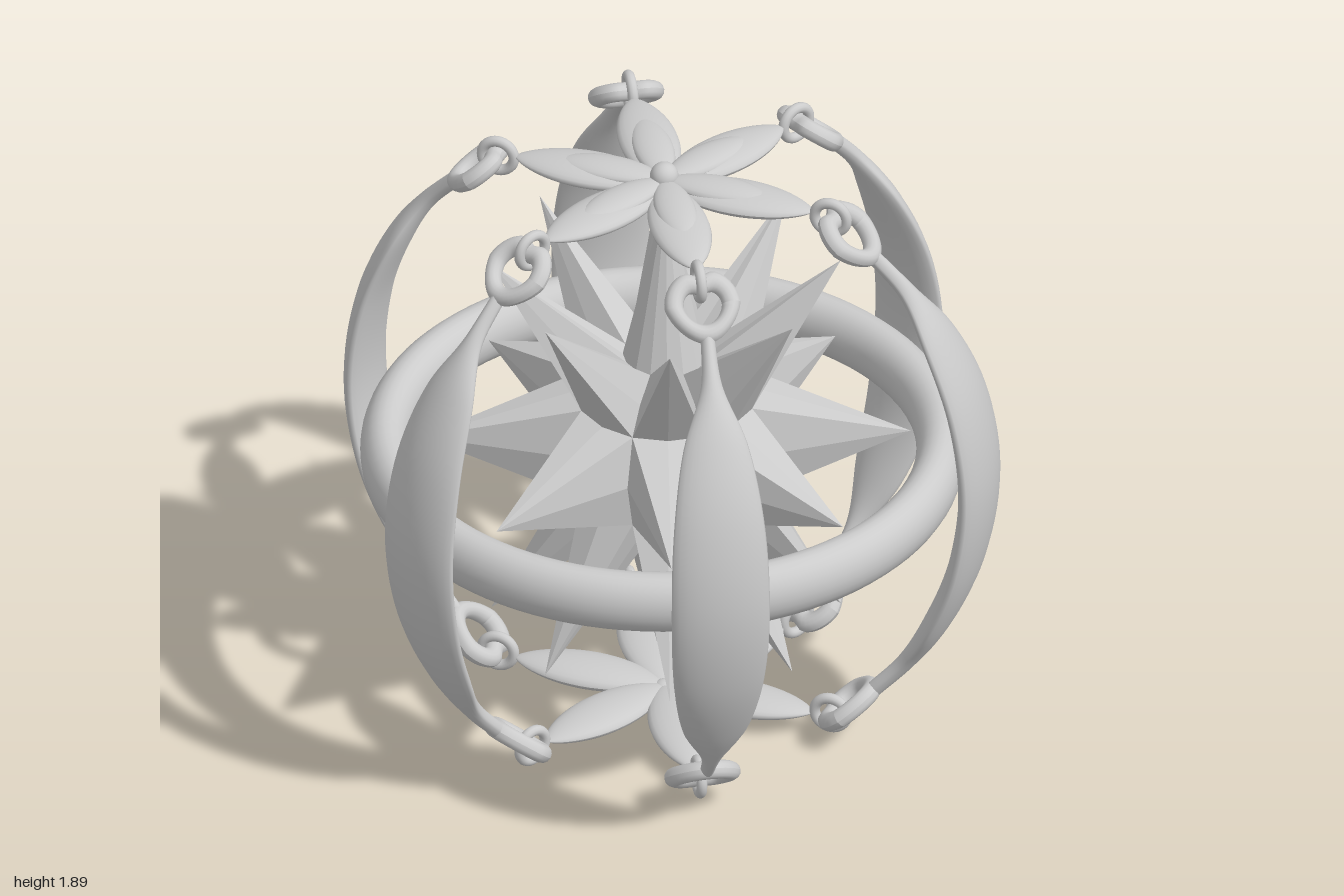
import * as THREE from 'three';

const MID = 0.945; // mid height of the model
const material = new THREE.MeshStandardMaterial({ color: 0xcccccc });
const facetedMaterial = new THREE.MeshStandardMaterial({ color: 0xcccccc, flatShading: true });

function mesh(name, geometry, mat = material) {
  const m = new THREE.Mesh(geometry, mat);
  m.name = name;
  return m;
}

// Move every vertex of a geometry by a rule
function deform(geometry, rule) {
  const p = geometry.attributes.position;
  const v = new THREE.Vector3();
  for (let i = 0; i < p.count; i++) {
    v.fromBufferAttribute(p, i);
    rule(v);
    p.setXYZ(i, v.x, v.y, v.z);
  }
  geometry.computeVertexNormals();
  return geometry;
}

// Pointed petal lying along +z from the flower centre
function petalGeometry(length, halfWidth, halfThick) {
  const g = new THREE.SphereGeometry(1, 24, 24).rotateX(Math.PI / 2);
  return deform(g, (v) => {
    const taper = Math.pow(Math.max(0, 1 - v.z * v.z), 0.22);
    v.x *= halfWidth * taper;
    v.y *= halfThick * taper;
    v.z = (v.z + 1) * length / 2;
  });
}

// Heart-like eyelet: narrow on the strap side, dented on the link side
function eyeletGeometry() {
  const g = new THREE.TorusGeometry(0.085, 0.028, 14, 40);
  deform(g, (v) => {
    if (v.y < 0) v.y += 0.022 * Math.exp(-((v.x / 0.03) ** 2));
    else v.x *= 1 - 2.2 * v.y;
  });
  return g.rotateX(THREE.MathUtils.degToRad(130.5));
}

// Bowed strap with a lens section; lean shifts its belly sideways
function strapGeometry(lean) {
  const half = [[0.02, 1.705, 0.64], [0.032, 1.59, 0.74], [0.095, 1.44, 0.83], [0.134, 1.22, 0.915]];
  // each path point holds (half width, height, distance from the axis)
  const points = half.map((p) => new THREE.Vector3(...p));
  points.push(new THREE.Vector3(0.146, MID, 0.952));
  for (const [w, y, r] of half.reverse()) points.push(new THREE.Vector3(w, 2 * MID - y, r));
  const curve = new THREE.CatmullRomCurve3(points);
  const rows = 56, sides = 24, pos = [], index = [];
  for (let i = 0; i <= rows; i++) {
    const p = curve.getPoint(i / rows);
    const t = curve.getTangent(i / rows);
    const len = Math.hypot(t.y, t.z);
    const ny = t.z / len, nz = -t.y / len; // outward normal of the path
    const thick = 0.02 + 0.027 * (p.x / 0.146);
    for (let j = 0; j < sides; j++) {
      const a = (j / sides) * Math.PI * 2;
      const s = Math.sin(a);
      const n = thick * s * Math.pow(Math.abs(s), 0.3);
      pos.push(p.x * Math.cos(a) + lean * (p.z - 0.64), p.y + ny * n, p.z + nz * n);
      if (i === rows) continue;
      const k = i * sides + j, next = i * sides + (j + 1) % sides;
      index.push(k, next, k + sides, next, next + sides, k + sides);
    }
  }
  const g = new THREE.BufferGeometry();
  g.setAttribute('position', new THREE.Float32BufferAttribute(pos, 3));
  g.setIndex(index);
  g.computeVertexNormals();
  return g;
}

// Star ball: a sphere of eight columns whose every panel rises to a spike
function starGeometry() {
  const body = 0.31, turn = -10, pos = [];
  const at = (r, lat, lon) => {
    const a = THREE.MathUtils.degToRad(lat), o = THREE.MathUtils.degToRad(lon + turn);
    return [r * Math.cos(a) * Math.sin(o), r * Math.sin(a), r * Math.cos(a) * Math.cos(o)];
  };
  const spike = (loop, tip) => loop.forEach((p, i) => pos.push(...p, ...loop[(i + 1) % loop.length], ...tip));
  const bands = [[-66, -29.5, -49.6, 0.787], [-29.5, 29.5, 0, 0.715], [29.5, 66, 49.6, 0.787]];
  for (const [low, high, tipLat, reach] of bands) {
    const mid = (low + high) / 2;
    for (let c = 0; c < 360; c += 45) {
      const l = c - 22.5, r = c + 22.5;
      const loop = [[low, l], [low, c], [low, r], [mid, r], [high, r], [high, c], [high, l], [mid, l]];
      spike(loop.map(([lat, lon]) => at(body, lat, lon)), at(reach, tipLat, c));
    }
  }
  // pole spikes
  const cap = [...Array(16).keys()].map((i) => i * 22.5);
  spike(cap.map((lon) => at(body, 66, lon)), [0, 0.84, 0]);
  spike(cap.map((lon) => at(body, -66, -lon)), [0, -0.84, 0]);
  const g = new THREE.BufferGeometry();
  g.setAttribute('position', new THREE.Float32BufferAttribute(pos, 3));
  g.computeVertexNormals();
  return g;
}

// Flower with its six links and eyelets, heights measured from mid height
function flowerCap(name) {
  const cap = new THREE.Group();
  cap.name = name;
  const petal = petalGeometry(0.46, 0.088, 0.032);
  const inner = petalGeometry(0.335, 0.06, 0.026);
  const link = new THREE.TorusGeometry(0.049, 0.016, 12, 32).rotateY(Math.PI / 2);
  const eyelet = eyeletGeometry();
  for (let i = 0; i < 6; i++) {
    const arm = new THREE.Group();
    arm.name = 'flowerArm';
    arm.rotation.y = i * Math.PI / 3;
    const parts = [
      [mesh('petal', petal), 1.82, 0],
      [mesh('innerPetal', inner), 1.837, 0],
      [mesh('link', link), 1.81, 0.512],
      [mesh('eyelet', eyelet), 1.762, 0.572],
    ];
    for (const [part, y, z] of parts) {
      part.position.set(0, y - MID, z);
      arm.add(part);
    }
    cap.add(arm);
  }
  const centre = mesh('flowerCentre', new THREE.SphereGeometry(0.042, 24, 16));
  centre.position.y = 1.848 - MID;
  cap.add(centre);
  return cap;
}

export function createModel() {
  const model = new THREE.Group();
  model.name = 'caged star ornament';

  // Upper and lower flowers
  const top = flowerCap('topFlower');
  top.position.set(-0.008, MID, 0);
  const bottom = flowerCap('bottomFlower');
  bottom.position.set(-0.008, MID, 0);
  bottom.rotation.z = Math.PI;
  model.add(top, bottom);

  // Six bowed straps, some leaning a little
  [-0.07, 0.17, 0, 0, -0.28, 0].forEach((lean, i) => {
    const strap = mesh('strap', strapGeometry(lean));
    strap.position.x = -0.008;
    strap.rotation.y = i * Math.PI / 3;
    model.add(strap);
  });

  // Horizontal hoop, taller than wide in section
  const hoop = mesh('hoop', new THREE.TorusGeometry(0.811, 0.072, 24, 96).rotateX(Math.PI / 2).scale(1, 1.3, 1));
  hoop.position.set(-0.012, 0.895, 0);
  model.add(hoop);

  // Spiked star in the middle
  const star = mesh('star', starGeometry(), facetedMaterial);
  star.position.set(-0.003, MID, 0);
  model.add(star);

  return model;
}
